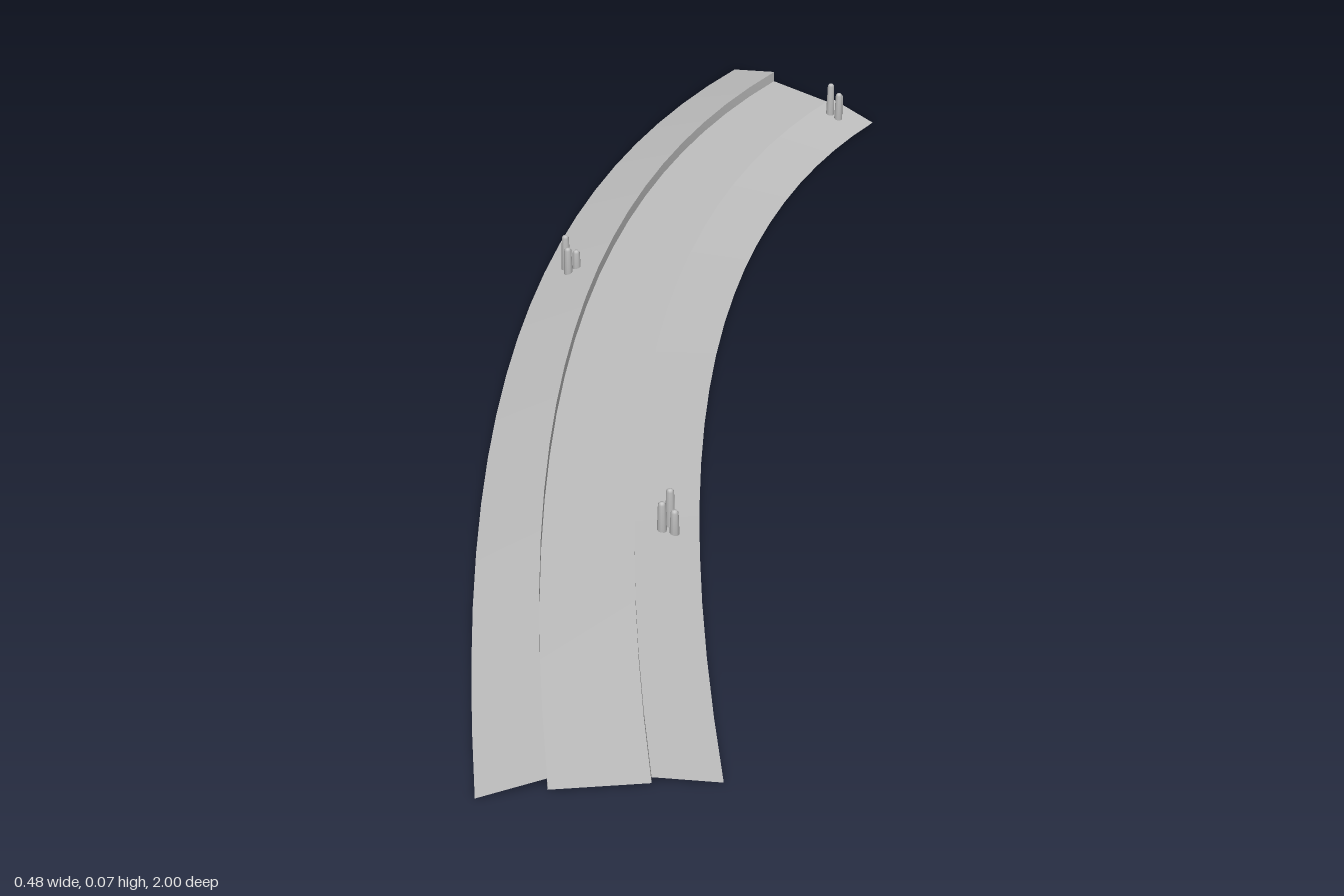
import * as THREE from 'three';

const grey = new THREE.MeshStandardMaterial({ color: 0xc0c0c0, side: THREE.DoubleSide });
grey.name = 'pale grey';

// Centre line of the bend, from the back end to the front end
const bend = new THREE.QuadraticBezierCurve(
  new THREE.Vector2(0.103, -0.924),
  new THREE.Vector2(-0.255, -0.31),
  new THREE.Vector2(0.085, 0.954)
);
const STEPS = 20;

// Ribbon that sweeps the line between two [offset, height] points along the bend
function ribbon(name, from, to) {
  const positions = [];
  const index = [];
  for (let i = 0; i <= STEPS; i++) {
    const p = bend.getPoint(i / STEPS);
    const t = bend.getTangent(i / STEPS);
    for (const [offset, height] of [from, to]) {
      positions.push(p.x + t.y * offset, height, p.y - t.x * offset);
    }
    if (i < STEPS) {
      const a = i * 2;
      index.push(a, a + 2, a + 1, a + 1, a + 2, a + 3);
    }
  }
  const geometry = new THREE.BufferGeometry();
  geometry.setAttribute('position', new THREE.Float32BufferAttribute(positions, 3));
  geometry.setIndex(index);
  geometry.computeVertexNormals();
  const mesh = new THREE.Mesh(geometry, grey);
  mesh.name = name;
  return mesh;
}

// Three round-topped stems of falling height, set in a triangle
function reedClump(name, x, z, angle) {
  const clump = new THREE.Group();
  clump.name = name;
  [0.072, 0.059, 0.047].forEach((h, i) => {
    const profile = [[0, 0], [0.0075, 0], [0.0058, h - 0.004], [0.0035, h - 0.0008], [0, h]];
    const stem = new THREE.Mesh(
      new THREE.LatheGeometry(profile.map(([r, y]) => new THREE.Vector2(r, y)), 10),
      grey
    );
    const a = angle - (i * Math.PI * 2) / 3;
    stem.position.set(Math.cos(a) * 0.0105, 0, Math.sin(a) * 0.0105);
    stem.name = 'reed';
    clump.add(stem);
  });
  clump.position.set(x, 0, z);
  return clump;
}

export function createModel() {
  const model = new THREE.Group();
  model.name = 'riverBend';

  // Cross-section of the channel, from the outer bank to the inner bank
  const section = [[-0.158, 0], [-0.066, 0.026], [-0.066, 0.007], [0.066, 0.007], [0.066, 0.017], [0.158, 0]];
  const names = ['outerBank', 'outerBankWall', 'riverBed', 'innerBankWall', 'innerBank'];
  names.forEach((name, i) => model.add(ribbon(name, section[i], section[i + 1])));

  // Reeds on the banks
  model.add(reedClump('backReeds', 0.173, -0.843, Math.PI));
  model.add(reedClump('middleReeds', -0.192, -0.247, -2.5));
  model.add(reedClump('frontReeds', 0.082, 0.411, -Math.PI / 2));
  return model;
}
